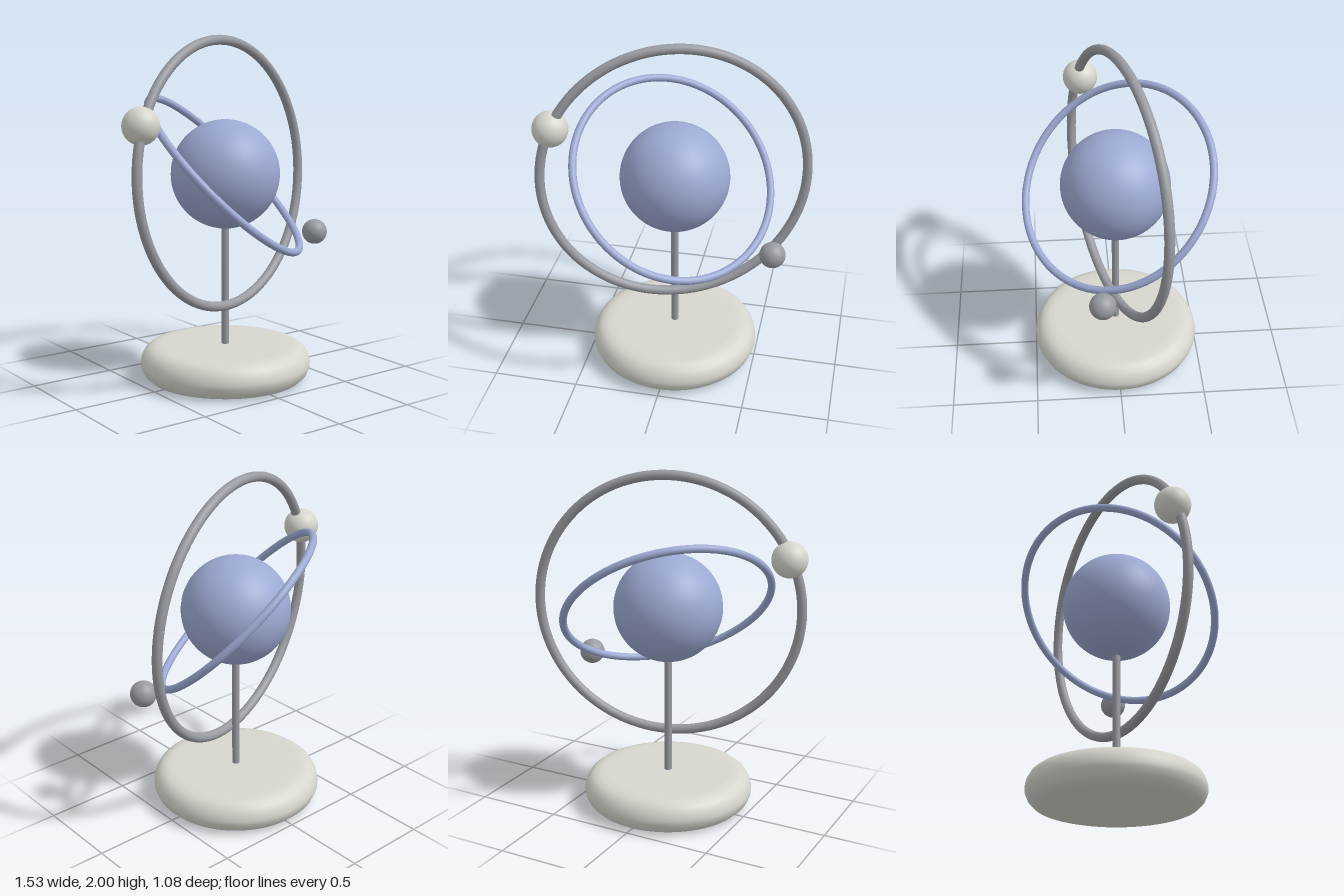
import * as THREE from 'three';

const mat = (name, color) => {
  const m = new THREE.MeshStandardMaterial({ color });
  m.name = name;
  return m;
};

export function createModel() {
  const model = new THREE.Group();
  model.name = 'orbitOrnament';
  const ivory = mat('ivory', 0xd6d6ce);
  const blue = mat('softBlue', 0x9ca9d2);
  const steel = mat('steelGrey', 0x989ba1);
  const centreY = 1.208;

  const add = (name, geometry, material, x = 0, y = 0, z = 0) => {
    const mesh = new THREE.Mesh(geometry, material);
    mesh.name = name;
    mesh.position.set(x, y, z);
    model.add(mesh);
    return mesh;
  };

  // Rings are centred on the planet and tilted so their axis follows the given normal
  const addRing = (name, radius, tube, material, normal) => {
    const ring = add(name, new THREE.TorusGeometry(radius, tube, 20, 128), material, 0, centreY, 0);
    ring.quaternion.setFromUnitVectors(new THREE.Vector3(0, 0, 1), new THREE.Vector3(...normal).normalize());
  };

  const addBall = (name, radius, material, x, y, z) =>
    add(name, new THREE.SphereGeometry(radius, 48, 32), material, x, y, z);

  // Pebble-like base with a soft rim
  const profile = [
    [0, 0], [0.38, 0], [0.42, 0.002], [0.455, 0.012], [0.482, 0.038], [0.498, 0.075], [0.5, 0.1],
    [0.492, 0.135], [0.473, 0.168], [0.445, 0.19], [0.41, 0.199], [0.37, 0.202], [0, 0.202],
  ].map(([r, y]) => new THREE.Vector2(r, y));
  add('base', new THREE.LatheGeometry(profile, 72), ivory);

  // Rod holding up the planet
  add('stand', new THREE.CylinderGeometry(0.022, 0.022, 0.8, 24), steel, 0, 0.55, 0);

  addBall('planet', 0.315, blue, 0, centreY, 0);
  addRing('innerRing', 0.607, 0.022, blue, [0.488, 0.706, 0.516]);
  addRing('outerRing', 0.765, 0.028, steel, [0.29, 0.052, 0.955]);

  // Moons
  addBall('largeMoon', 0.102, ivory, -0.67, 1.525, 0.165);
  addBall('smallMoon', 0.075, steel, 0.59, 0.825, 0.11);

  return model;
}
